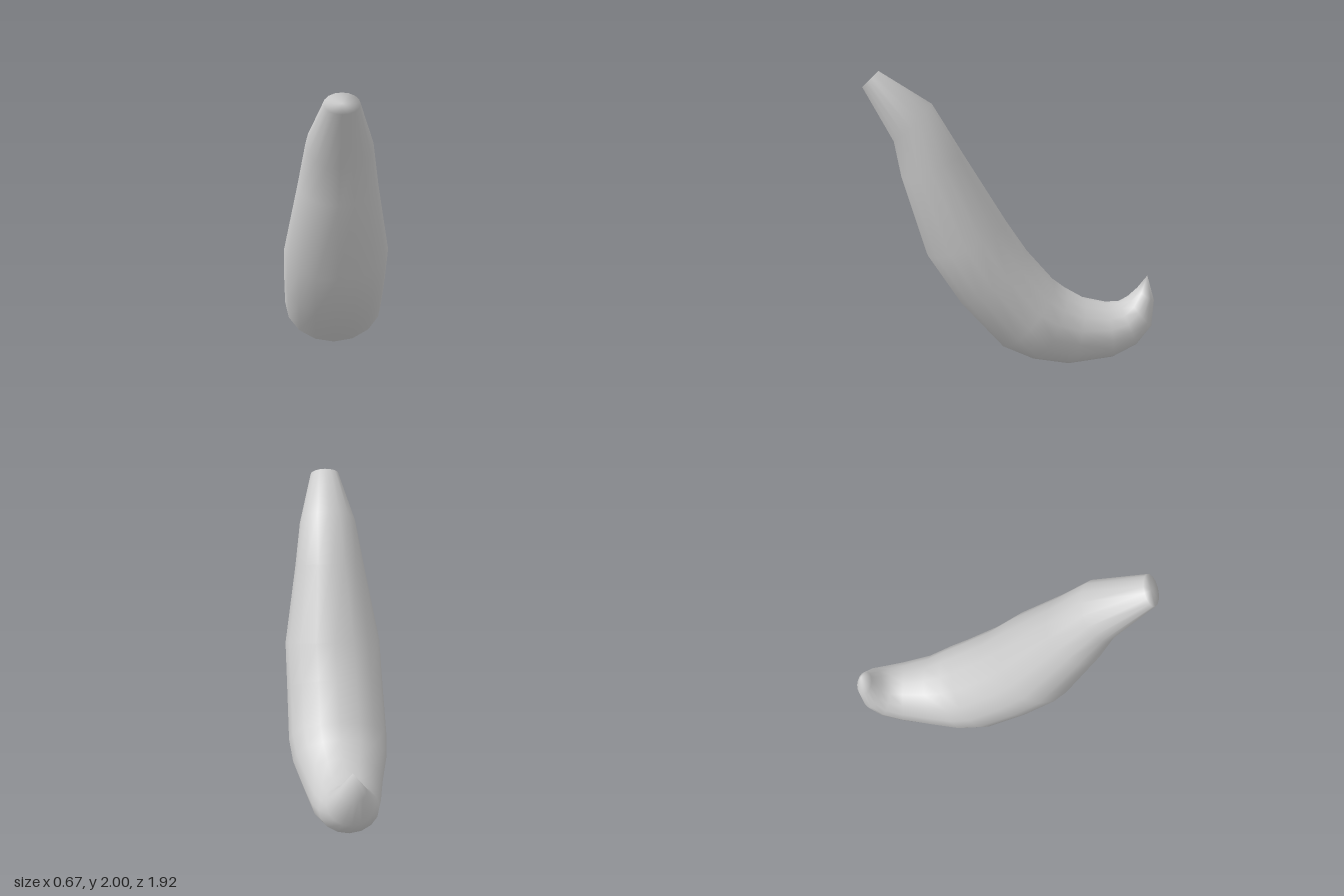
import * as THREE from 'three';

const SIDES = 16;

// Cross-sections from the blunt end to the hooked tip:
// [outer z, outer y, inner z, inner y, half width, centre x]
const SECTIONS = [
  [0.965, 1.90, 0.86, 2.00, 0.10, 0.02],
  [0.78, 1.55, 0.53, 1.79, 0.195, 0.015],
  [0.74, 1.32, 0.34, 1.47, 0.24, 0.01],
  [0.59, 0.80, 0.06, 1.01, 0.33, 0.005],
  [0.38, 0.47, -0.08, 0.80, 0.333, 0],
  [0.10, 0.15, -0.27, 0.58, 0.335, -0.003],
  [-0.11, 0.05, -0.36, 0.51, 0.315, -0.005],
  [-0.36, 0.0, -0.48, 0.44, 0.265, -0.01],
  [-0.67, 0.035, -0.63, 0.405, 0.22, -0.015],
  [-0.84, 0.12, -0.72, 0.405, 0.19, -0.02],
  [-0.945, 0.25, -0.78, 0.44, 0.15, -0.025],
  [-0.96, 0.43, -0.845, 0.505, 0.085, -0.03],
];
const TIP = [-0.03, 0.60, -0.91];

function bodyGeometry() {
  const positions = [];
  const index = [];

  // Elliptical rings spanning from the outer to the inner curve
  for (const [oz, oy, iz, iy, halfWidth, cx] of SECTIONS) {
    for (let j = 0; j < SIDES; j++) {
      const a = (j / SIDES) * Math.PI * 2;
      const t = (1 + Math.sin(a)) / 2;
      positions.push(
        cx + halfWidth * Math.cos(a),
        THREE.MathUtils.lerp(oy, iy, t),
        THREE.MathUtils.lerp(oz, iz, t)
      );
    }
  }

  // Skin between neighbouring rings
  const last = SECTIONS.length - 1;
  for (let i = 0; i < last; i++) {
    for (let j = 0; j < SIDES; j++) {
      const k = (j + 1) % SIDES;
      const a = i * SIDES + j;
      const b = i * SIDES + k;
      index.push(a, a + SIDES, b, b, a + SIDES, b + SIDES);
    }
  }

  // Blunt end cap and pointed tip
  const [oz, oy, iz, iy, , cx] = SECTIONS[0];
  const capCentre = positions.length / 3;
  positions.push(cx, (oy + iy) / 2, (oz + iz) / 2, ...TIP);
  for (let j = 0; j < SIDES; j++) {
    const k = (j + 1) % SIDES;
    index.push(capCentre, j, k);
    index.push(last * SIDES + j, capCentre + 1, last * SIDES + k);
  }

  const geometry = new THREE.BufferGeometry();
  geometry.setAttribute('position', new THREE.Float32BufferAttribute(positions, 3));
  geometry.setIndex(index);
  geometry.computeVertexNormals();
  return geometry;
}

export function createModel() {
  const group = new THREE.Group();
  group.name = 'curvedHorn';
  const body = new THREE.Mesh(
    bodyGeometry(),
    new THREE.MeshStandardMaterial({ color: 0xcccccc })
  );
  body.name = 'body';
  group.add(body);
  return group;
}
